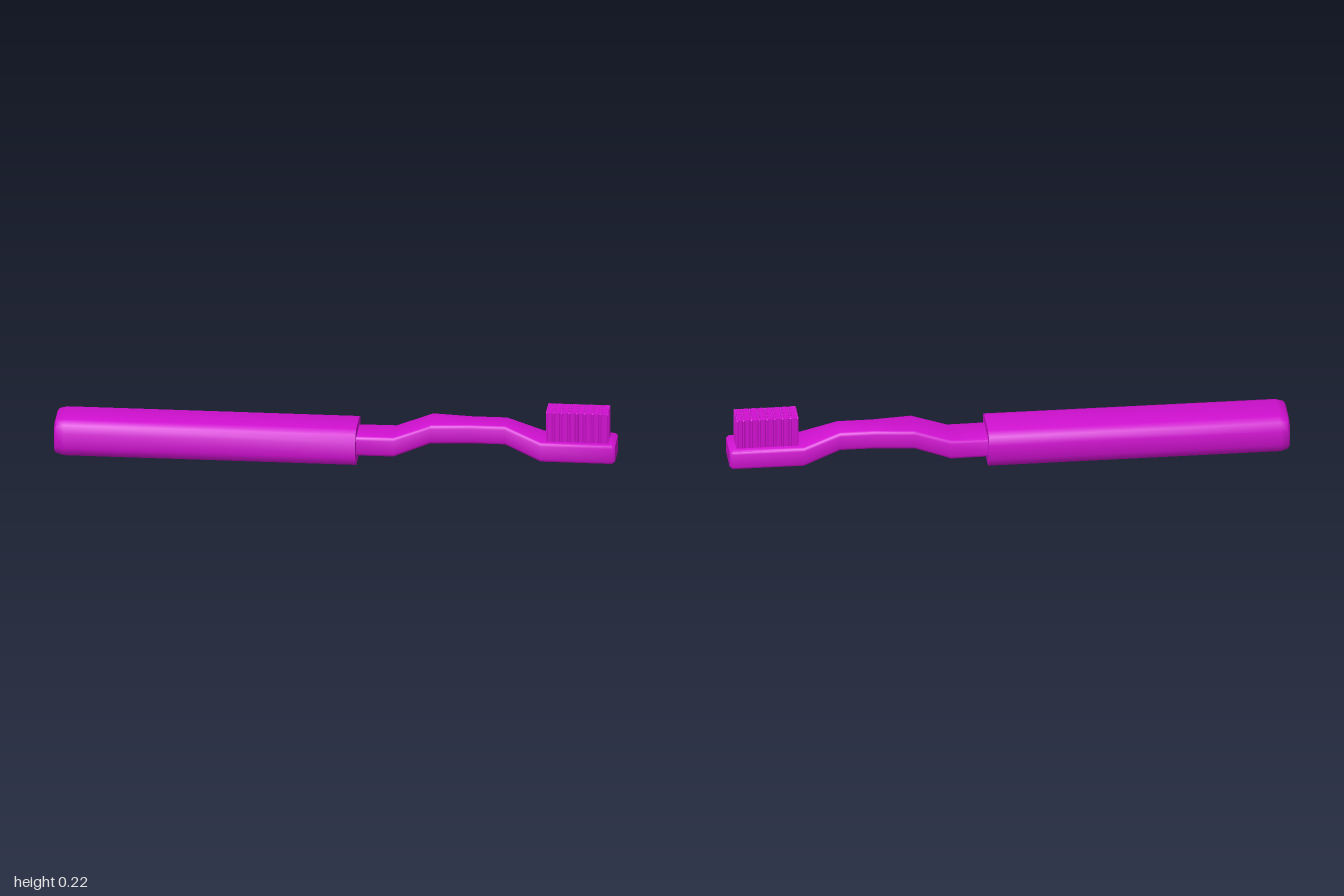
import * as THREE from 'three';
import { mergeGeometries, toCreasedNormals } from 'three/addons/utils/BufferGeometryUtils.js';

// Rounded rectangle in the z/y plane, two segments per corner
function ring({ y0, y1, z0, z1, r }) {
  const corners = [[z1 - r, y0 + r, -90], [z1 - r, y1 - r, 0], [z0 + r, y1 - r, 90], [z0 + r, y0 + r, 180]];
  return corners.flatMap(([z, y, start]) => [0, 45, 90].map((step) => {
    const a = THREE.MathUtils.degToRad(start + step);
    return [z + r * Math.cos(a), y + r * Math.sin(a)];
  }));
}

// Solid skinned along x through rows of [x, y0, y1, z0, z1, cornerRadius]
function loft(rows) {
  const pos = [], index = [], n = 12;
  rows.forEach(([x, y0, y1, z0, z1, r]) => ring({ y0, y1, z0, z1, r }).forEach(([z, y]) => pos.push(x, y, z)));
  for (let i = 0; i < rows.length - 1; i++) {
    for (let j = 0; j < n; j++) {
      const a = i * n + j, b = i * n + (j + 1) % n;
      index.push(a, a + n, b, b, a + n, b + n);
    }
  }
  const last = (rows.length - 1) * n;
  for (let j = 1; j < n - 1; j++) {
    index.push(0, j, j + 1);
    index.push(last, last + j + 1, last + j);
  }
  const geometry = new THREE.BufferGeometry();
  geometry.setAttribute('position', new THREE.Float32BufferAttribute(pos, 3));
  geometry.setIndex(index);
  return toCreasedNormals(geometry, 0.85);
}

export function createModel() {
  const model = new THREE.Group();
  const material = new THREE.MeshStandardMaterial({ color: 0xd010d0 });
  const add = (name, geometry) => {
    const mesh = new THREE.Mesh(geometry, material);
    mesh.name = name;
    model.add(mesh);
  };

  // Thick grip with a bevelled far end
  add('handle', loft([
    [-1, 0.017, 0.122, -0.09, 0.09, 0.035],
    [-0.993, 0.007, 0.132, -0.099, 0.099, 0.04],
    [-0.965, 0, 0.138, -0.105, 0.105, 0.042],
    [0.077, 0, 0.138, -0.105, 0.105, 0.042],
  ]));

  // Arched neck, slightly waisted, running into the flat brush head
  add('neckAndHead', loft([
    [0.06, 0.034, 0.107, -0.073, 0.07, 0.012],
    [0.21, 0.034, 0.107, -0.075, 0.068, 0.012],
    [0.34, 0.085, 0.155, -0.081, 0.058, 0.012],
    [0.48, 0.085, 0.155, -0.065, 0.044, 0.012],
    [0.605, 0.085, 0.155, -0.065, 0.044, 0.012],
    [0.735, 0.034, 0.107, -0.074, 0.07, 0.012],
    [0.99, 0.034, 0.107, -0.073, 0.07, 0.012],
    [1, 0.042, 0.1, -0.066, 0.063, 0.008],
  ]));

  // Bristles: tightly packed tufts with slim pointed strands in the gaps
  const cols = 8, rows = 4, x0 = 0.752, z0 = -0.047, dx = 0.0278, dz = 0.0235;
  const parts = [];
  for (let i = 0; i < cols; i++) {
    for (let j = 0; j < rows; j++) {
      const tuft = new THREE.CylinderGeometry(0.5, 0.5, 0.117, 8);
      tuft.rotateY(Math.PI / 8).scale(dx * 1.08, 1, dz * 1.08);
      parts.push(tuft.translate(x0 + (i + 0.5) * dx, 0.1585, z0 + (j + 0.5) * dz));
    }
  }
  for (let i = 0; i <= cols; i++) {
    for (let j = 0; j <= rows; j++) {
      const onEdge = j === 0 || j === rows;
      const x = THREE.MathUtils.clamp(x0 + i * dx, x0 + 0.004, x0 + cols * dx - 0.004);
      const z = z0 + j * dz + (j === 0 ? 0.004 : j === rows ? -0.004 : 0);
      const top = onEdge ? 0.219 : 0.223;
      const strand = new THREE.CylinderGeometry(0.005, 0.005, 0.115, 6).translate(x, 0.1575, z);
      const tip = new THREE.ConeGeometry(0.005, top - 0.215, 6).translate(x, (top + 0.215) / 2, z);
      parts.push(strand, tip);
    }
  }
  add('bristles', toCreasedNormals(mergeGeometries(parts), 0.5));

  return model;
}
